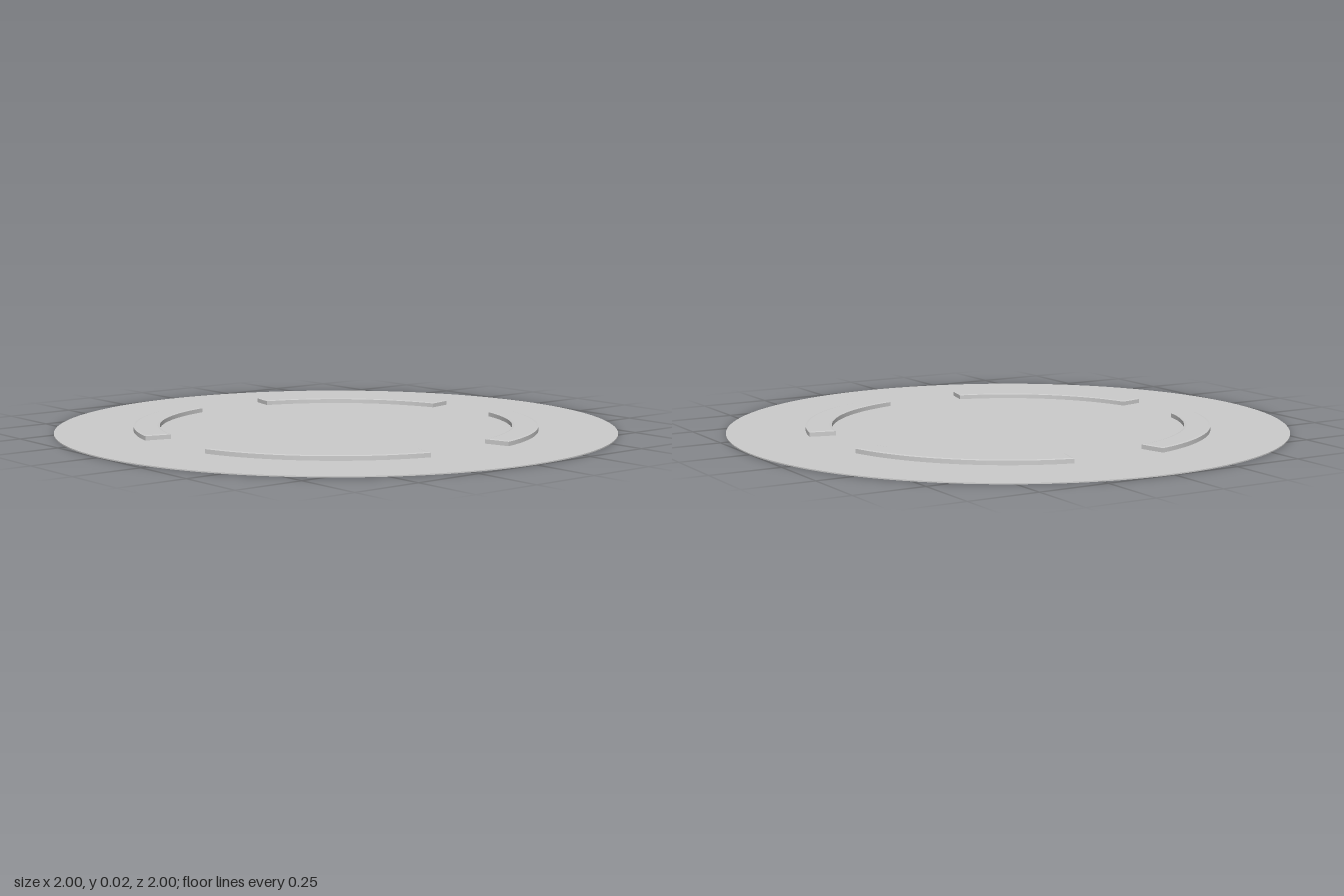
import * as THREE from 'three';
import { toCreasedNormals } from 'three/addons/utils/BufferGeometryUtils.js';

const DISC_HEIGHT = 0.004;

// Curved bar with a slightly eased top edge, spanning one quadrant
function arcBarGeometry(inner, outer, start, end) {
  const shape = new THREE.Shape();
  shape.absarc(0, 0, outer, start, end, false);
  shape.absarc(0, 0, inner, end, start, true);
  shape.closePath();
  const geometry = new THREE.ExtrudeGeometry(shape, {
    depth: 0.016, curveSegments: 32,
    bevelEnabled: true, bevelThickness: 0.002, bevelSize: 0.008, bevelOffset: -0.008, bevelSegments: 1,
  });
  geometry.rotateX(-Math.PI / 2);
  return toCreasedNormals(geometry, 0.15);
}

export function createModel() {
  const model = new THREE.Group();
  model.name = 'discWithRaisedArcs';
  const material = new THREE.MeshStandardMaterial({ color: 0xcccccc });

  // Thin round base
  const disc = new THREE.Mesh(new THREE.CylinderGeometry(1, 1, DISC_HEIGHT, 128), material);
  disc.name = 'baseDisc';
  disc.position.y = DISC_HEIGHT / 2;
  model.add(disc);

  // Four raised arcs, their lower edges sunk into the base
  const gap = THREE.MathUtils.degToRad(14.1);
  const barGeometry = arcBarGeometry(0.628, 0.721, gap, Math.PI / 2 - gap);
  for (let i = 0; i < 4; i++) {
    const bar = new THREE.Mesh(barGeometry, material);
    bar.name = `raisedArc${i + 1}`;
    bar.position.y = 0.003;
    bar.rotation.y = i * Math.PI / 2;
    model.add(bar);
  }
  return model;
}
